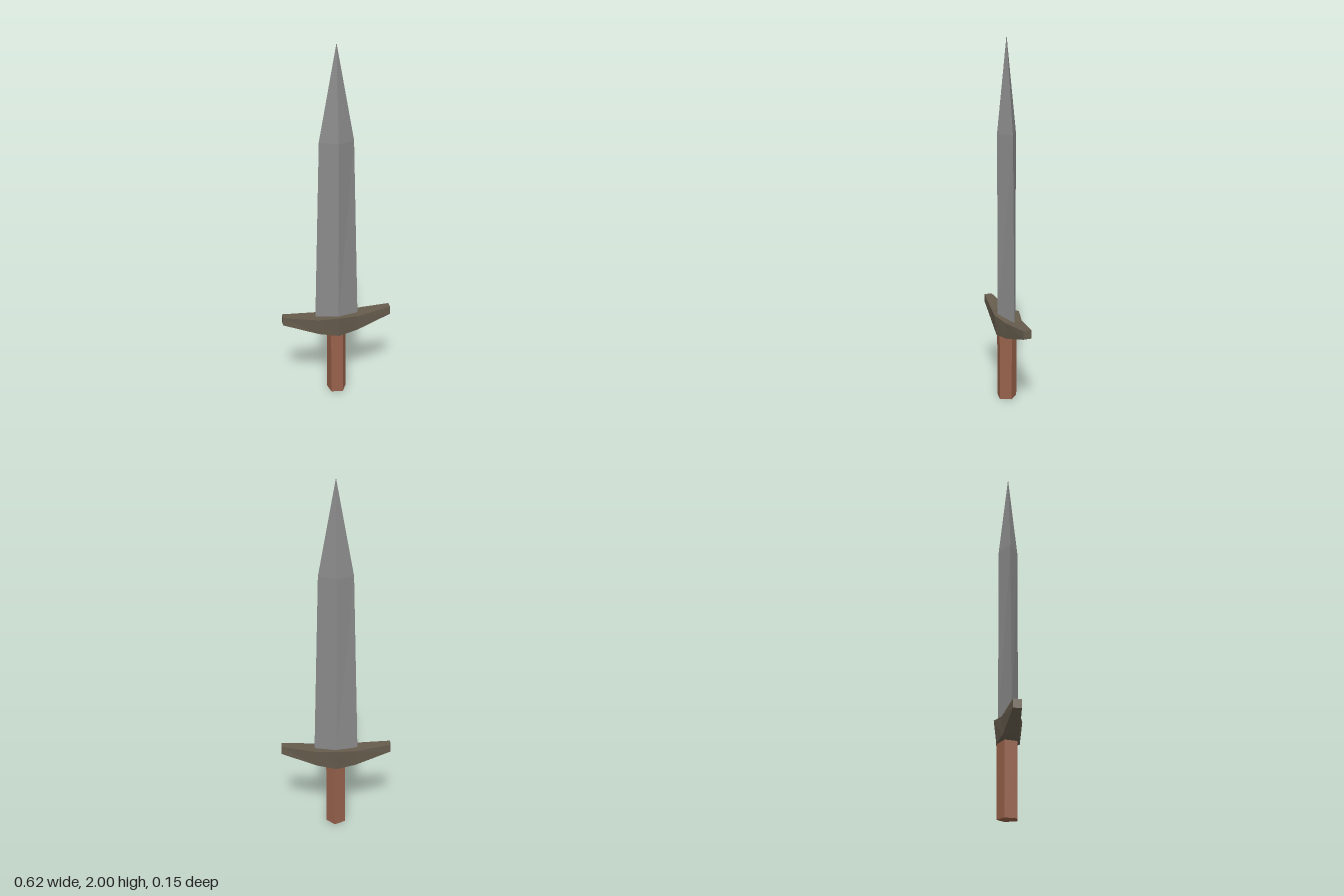
import * as THREE from 'three';

// Skins a list of rings (each counterclockwise seen from the far end) and caps both ends
function loft(rings) {
  const pos = [];
  const tri = (a, b, c) => {
    const area = new THREE.Triangle(new THREE.Vector3(...a), new THREE.Vector3(...b), new THREE.Vector3(...c)).getArea();
    if (area > 1e-8) pos.push(...a, ...b, ...c);
  };
  const n = rings[0].length;
  for (let i = 0; i < rings.length - 1; i++) {
    for (let j = 0; j < n; j++) {
      const k = (j + 1) % n;
      tri(rings[i][j], rings[i][k], rings[i + 1][k]);
      tri(rings[i][j], rings[i + 1][k], rings[i + 1][j]);
    }
  }
  const first = rings[0], last = rings[rings.length - 1];
  for (let j = 1; j < n - 1; j++) {
    tri(first[0], first[j + 1], first[j]);
    tri(last[0], last[j], last[j + 1]);
  }
  const g = new THREE.BufferGeometry();
  g.setAttribute('position', new THREE.Float32BufferAttribute(pos, 3));
  g.computeVertexNormals();
  return g;
}

function part(name, geometry, color) {
  const mesh = new THREE.Mesh(geometry, new THREE.MeshStandardMaterial({ color, flatShading: true }));
  mesh.name = name;
  return mesh;
}

export function createModel() {
  const group = new THREE.Group();
  group.name = 'dagger';

  // Diamond-section blade: [height, half width, half thickness]
  const diamond = ([y, w, t]) => [[w, y, 0], [0, y, -t], [-w, y, 0], [0, y, t]];
  const bladeRings = [[0.47, 0.122, 0.052], [1.5, 0.093, 0.053], [2, 0, 0]].map(diamond);
  group.add(part('blade', loft(bladeRings), 0x8a8a8a));

  // Crossguard, swept up at the tips: [x, bottom, top, half depth at bottom, at top]
  const half = [
    [0, 0.38, 0.5, 0.06, 0.074],
    [0.11, 0.395, 0.487, 0.041, 0.048],
    [0.308, 0.465, 0.511, 0.022, 0.022],
  ];
  const stations = [...half.slice(1).reverse().map(([x, ...rest]) => [-x, ...rest]), ...half];
  const guardRings = stations.map(([x, b, t, zb, zt]) => [[x, b, zb], [x, b, -zb], [x, t, -zt], [x, t, zt]]);
  group.add(part('crossguard', loft(guardRings), 0x665c4d));

  // Five-sided grip
  const gripRing = (y) => Array.from({ length: 5 }, (_, i) => {
    const a = THREE.MathUtils.degToRad(10 + i * 72);
    return [0.057 * Math.cos(a), y, -0.057 * Math.sin(a)];
  });
  group.add(part('grip', loft([gripRing(0), gripRing(0.4)]), 0x96604a));

  return group;
}
